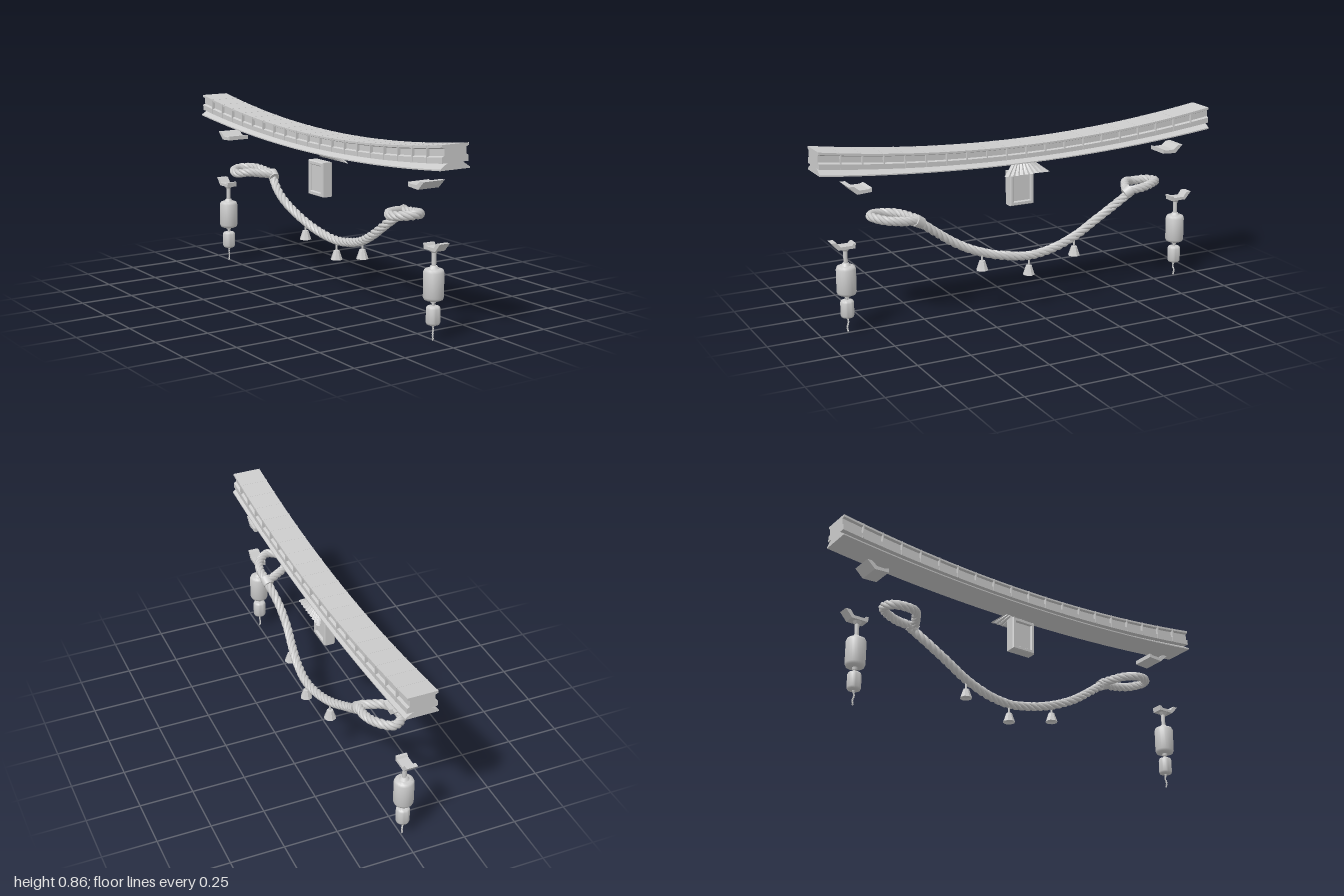
import * as THREE from 'three';
import { toCreasedNormals } from 'three/addons/utils/BufferGeometryUtils.js';

const CX = -0.008; // beam centre line
const grey = new THREE.MeshStandardMaterial({ color: 0xcccccc });
const double = new THREE.MeshStandardMaterial({ color: 0xcccccc, side: THREE.DoubleSide });
const v = (p) => new THREE.Vector3(...p);

function add(parent, name, geo, x = 0, y = 0, z = 0, mat = grey) {
  const mesh = new THREE.Mesh(geo, mat);
  mesh.name = name;
  mesh.position.set(x, y, z);
  parent.add(mesh);
  return mesh;
}

const shapeOf = (pts) => new THREE.Shape(pts.map(([x, y]) => new THREE.Vector2(x, y)));

// Symmetric profile (y in 0..1) swept along z on the upswept curve
function sweepBeam(half, z0, z1, steps) {
  const pts = [...half, ...half.map(([x, y]) => [-x, y]).reverse()];
  const geo = new THREE.ExtrudeGeometry(shapeOf(pts), { depth: z1 - z0, steps, bevelEnabled: false });
  geo.translate(0, 0, z0);
  const p = geo.attributes.position;
  for (let i = 0; i < p.count; i++) {
    const z2 = p.getZ(i) ** 2;
    p.setY(i, 0.698 + 0.056 * z2 + p.getY(i) * (0.085 + 0.021 * z2));
  }
  geo.computeVertexNormals();
  return geo;
}

// Profile drawn in (z, y), extruded across x and centred
function crossExtrude(pts, width) {
  const geo = new THREE.ExtrudeGeometry(shapeOf(pts), { depth: width, bevelEnabled: false });
  geo.translate(0, 0, -width / 2);
  return geo.rotateY(-Math.PI / 2);
}

// Twisted rope: several helical strands round a path
function addRope(parent, name, points, strands, offset, radius, turns, closed = false) {
  const path = new THREE.CatmullRomCurve3(points.map(v), closed);
  const n = Math.round(turns * 12);
  const frames = path.computeFrenetFrames(n, closed);
  for (let s = 0; s < strands; s++) {
    const pts = [];
    for (let i = 0; i <= n; i++) {
      const a = (i / n) * turns * Math.PI * 2 + (s / strands) * Math.PI * 2;
      pts.push(path.getPointAt(i / n)
        .addScaledVector(frames.normals[i], Math.cos(a) * offset)
        .addScaledVector(frames.binormals[i], Math.sin(a) * offset));
    }
    add(parent, name, new THREE.TubeGeometry(new THREE.CatmullRomCurve3(pts), n * 2, radius, 7));
  }
}

// Lathe solid with rounded shoulders
function roundedDrum(r, y0, y1, b) {
  const pts = [[0, y0], [r - b, y0], [r - b * 0.3, y0 + b * 0.3], [r, y0 + b],
    [r, y1 - b], [r - b * 0.3, y1 - b * 0.3], [r - b, y1], [0, y1]];
  const geo = new THREE.LatheGeometry(pts.map(([x, y]) => new THREE.Vector2(x, y)), 24);
  return toCreasedNormals(geo, 0.9);
}

function addRod(parent, name, rTop, rBottom, y0, y1, z) {
  add(parent, name, new THREE.CylinderGeometry(rTop, rBottom, y1 - y0, 12), 0, (y0 + y1) / 2, z);
}

function makeBeam() {
  const g = new THREE.Group();
  g.name = 'lintel';
  const half = [[0.076, 0], [0.076, 0.06], [0.04, 0.28], [0.069, 0.28], [0.069, 0.52],
    [0.057, 0.57], [0.057, 0.85], [0.069, 0.9], [0.069, 1]];
  add(g, 'lintelBeam', sweepBeam(half, -1, 1, 20));
  const rib = [[0.0715, 0.3], [0.0715, 1.006]];
  for (let i = 1; i < 20; i++) {
    const z = -1 + i * 0.1;
    add(g, 'lintelRib', sweepBeam(rib, z - 0.0025, z + 0.0025, 1));
  }
  return g;
}

// Framed tablet under the middle, panel recessed on both faces
function makePlaque() {
  const g = new THREE.Group();
  g.name = 'plaque';
  const frame = [[-0.062, 0.487], [0.062, 0.487], [0.062, 0.65], [-0.062, 0.65]];
  const shape = shapeOf(frame);
  shape.holes.push(new THREE.Path(frame.map(([z, y]) =>
    new THREE.Vector2(z * 0.68, y < 0.5 ? y + 0.02 : y - 0.02))));
  const geo = new THREE.ExtrudeGeometry(shape, {
    depth: 0.044, bevelThickness: 0.006, bevelSize: 0.004, bevelOffset: -0.004, bevelSegments: 1 });
  geo.translate(0, 0, -0.022).rotateY(-Math.PI / 2);
  add(g, 'plaqueFrame', geo);
  add(g, 'plaquePanel', new THREE.BoxGeometry(0.034, 0.14, 0.1), 0, 0.568, 0);

  // Pleated awning, spreading outward and down
  const fan = new THREE.BoxGeometry(0.008, 0.044, 0.23, 1, 1, 18);
  const p = fan.attributes.position;
  for (let i = 0; i < p.count; i++) {
    const t = p.getY(i) / 0.044 + 0.5;
    const step = Math.round((p.getZ(i) / 0.23 + 0.5) * 18);
    p.setX(i, p.getX(i) + 0.077 - 0.036 * t + (step % 2 ? 0.004 : -0.002));
    p.setZ(i, p.getZ(i) * (1 - 0.48 * t));
  }
  const flat = fan.toNonIndexed();
  flat.computeVertexNormals();
  add(g, 'awning', flat, 0, 0.669, 0, double);
  return g;
}

// Bracket and hanging lantern for one end
function makeEnd() {
  const g = new THREE.Group();
  g.name = 'endFittings';
  const bracket = [[0.755, 0.652], [0.825, 0.648], [0.865, 0.686], [0.84, 0.686],
    [0.815, 0.666], [0.772, 0.666], [0.755, 0.672]];
  add(g, 'beamBracket', crossExtrude(bracket, 0.109));

  const z = 0.87;
  const hanger = [[0.832, 0.396], [0.91, 0.396], [0.942, 0.433], [0.918, 0.433],
    [0.9, 0.41], [0.846, 0.41], [0.84, 0.42], [0.828, 0.42]];
  add(g, 'lanternBracket', crossExtrude(hanger, 0.052));
  addRod(g, 'hangerCollar', 0.023, 0.012, 0.383, 0.4, z);
  addRod(g, 'hangerRod', 0.01, 0.01, 0.325, 0.385, z);
  addRod(g, 'lanternCap', 0.014, 0.026, 0.312, 0.328, z);
  add(g, 'upperLantern', roundedDrum(0.045, 0.177, 0.316, 0.016), 0, 0, z);
  addRod(g, 'lanternFoot', 0.013, 0.011, 0.165, 0.178, z);
  addRod(g, 'lanternLink', 0.006, 0.006, 0.15, 0.168, z);
  add(g, 'lowerLantern', roundedDrum(0.031, 0.07, 0.154, 0.012), 0, 0, z);
  addRod(g, 'lowerFoot', 0.008, 0.006, 0.063, 0.072, z);
  addRope(g, 'tassel', [[0, 0.066, z], [0.002, 0.045, z - 0.002], [-0.002, 0.025, z + 0.002], [0.001, 0.002, z]],
    2, 0.002, 0.0025, 3);
  return g;
}

function makeRope() {
  const g = new THREE.Group();
  g.name = 'sacredRope';
  addRope(g, 'ropeStrand', [[0.07, 0.495, 0.55], [0.05, 0.43, 0.46], [0.045, 0.355, 0.35],
    [0.062, 0.303, 0.235], [0.08, 0.272, 0.11], [0.086, 0.259, 0], [0.08, 0.272, -0.12],
    [0.066, 0.31, -0.25], [0.048, 0.383, -0.4], [0.052, 0.432, -0.48], [0.07, 0.492, -0.56]],
  4, 0.0115, 0.0105, 9);
  // Loop at each end, with a binding collar
  for (const s of [1, -1]) {
    const lift = s > 0 ? 0 : -0.012;
    const loop = [[0.066, 0.498, 0.545], [0.07, 0.505, 0.625], [0.045, 0.514, 0.7],
      [-0.01, 0.522 + lift, 0.742], [-0.06, 0.518 + lift, 0.715], [-0.078, 0.512 + lift, 0.655],
      [-0.045, 0.51, 0.6], [0.01, 0.505, 0.565], [0.06, 0.498, 0.54]];
    addRope(g, 'ropeLoop', loop.map(([x, y, z]) => [x, y, s * z]), 4, 0.0115, 0.0105, 5);
    const collar = add(g, 'ropeCollar', new THREE.CylinderGeometry(0.029, 0.026, 0.04, 12), 0.066, 0.492, s * 0.545);
    collar.quaternion.setFromUnitVectors(new THREE.Vector3(0, 1, 0), v([0.1, 0.5, s * 0.85]).normalize());
  }
  // Flared bells
  for (const [x, y, z] of [[0.07, 0.22, 0.235], [0.085, 0.167, 0], [0.07, 0.22, -0.25]]) {
    const bell = new THREE.Group();
    bell.name = 'bell';
    bell.position.set(x, y, z);
    const cup = new THREE.LatheGeometry([[0, 0.012], [0.021, 0.008], [0.029, 0], [0.024, 0.014], [0.014, 0.044], [0, 0.046]]
      .map(([a, b]) => new THREE.Vector2(a, b)), 8).toNonIndexed();
    cup.computeVertexNormals();
    add(bell, 'bellCup', cup, 0, 0, 0, double);
    add(bell, 'bellCord', new THREE.CylinderGeometry(0.005, 0.005, 0.045, 8), 0, 0.063, 0);
    g.add(bell);
  }
  return g;
}

export function createModel() {
  const model = new THREE.Group();
  model.name = 'gateTop';
  const frame = new THREE.Group();
  frame.name = 'gateFrame';
  frame.position.x = CX;
  frame.add(makeBeam(), makePlaque());
  for (const angle of [0, Math.PI]) {
    const end = makeEnd();
    end.rotation.y = angle;
    frame.add(end);
  }
  model.add(frame, makeRope());
  return model;
}
